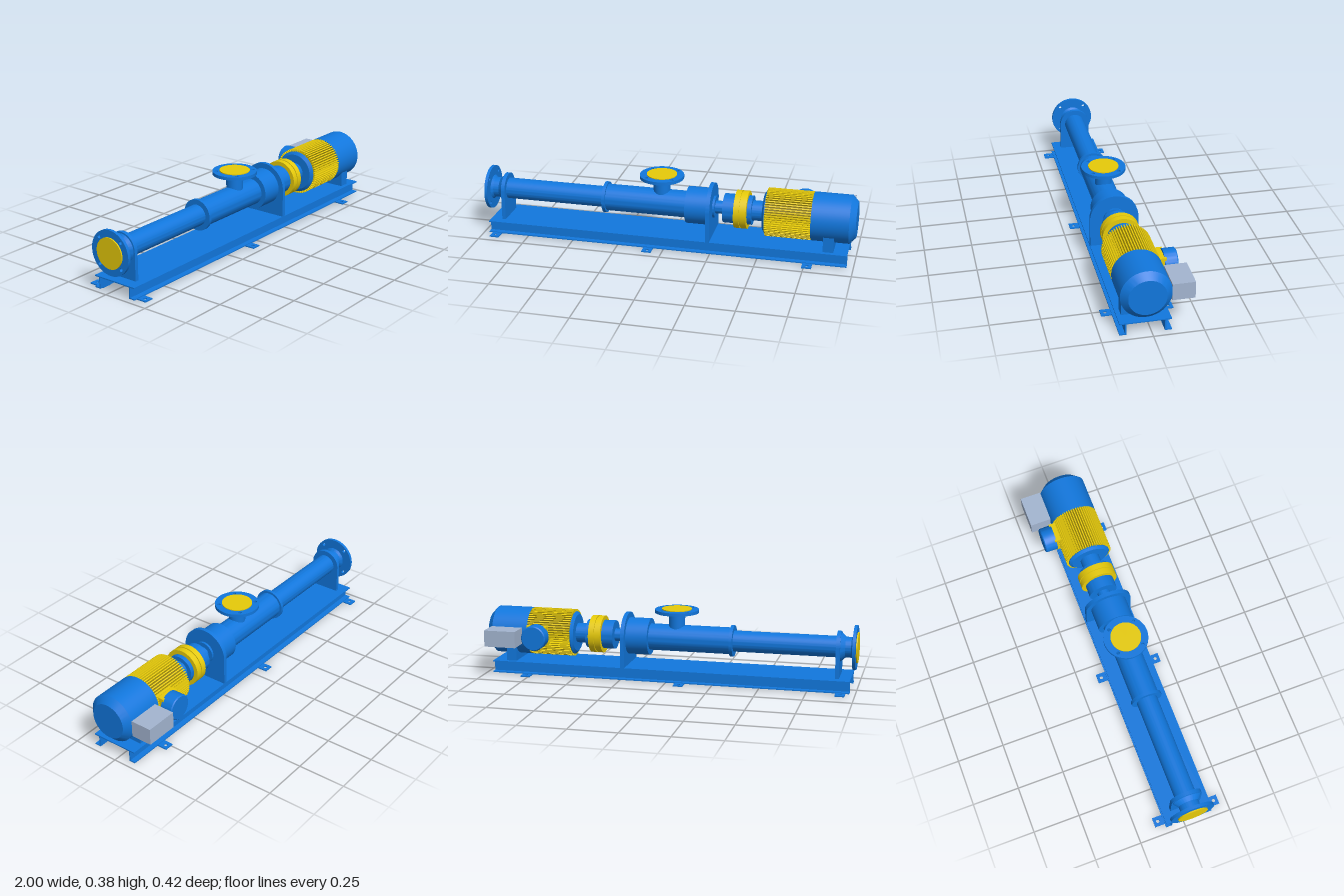
import * as THREE from 'three';
import { toCreasedNormals } from 'three/addons/utils/BufferGeometryUtils.js';

const AXIS_Y = 0.22, AXIS_Z = 0.03, DECK_Y = 0.068;
const mat = (color) => new THREE.MeshStandardMaterial({ color });

export function createModel() {
  const model = new THREE.Group();
  const blue = mat(0x1177dd), yellow = mat(0xe6ca0a), dark = mat(0x8a7800), grey = mat(0xa3b5d0);

  const add = (name, geometry, material = blue) => {
    const mesh = new THREE.Mesh(geometry, material);
    mesh.name = name;
    model.add(mesh);
    return mesh;
  };

  // Box given by its two corners
  const box = (name, [x0, x1], [y0, y1], [z0, z1], material) => {
    const g = new THREE.BoxGeometry(x1 - x0, y1 - y0, z1 - z0);
    g.translate((x0 + x1) / 2, (y0 + y1) / 2, (z0 + z1) / 2);
    return add(name, g, material);
  };

  // Turned part on the shaft line; profile is [x, radius] pairs, closed at both ends
  const turned = (name, profile, material) => {
    const pts = [[profile[0][0], 0], ...profile, [profile[profile.length - 1][0], 0]];
    let g = new THREE.LatheGeometry(pts.map(([x, r]) => new THREE.Vector2(r, x)), 56);
    g = toCreasedNormals(g, 0.5);
    g.rotateZ(-Math.PI / 2).translate(0, AXIS_Y, AXIS_Z);
    return add(name, g, material);
  };

  const extrude = (shape, depth) =>
    toCreasedNormals(new THREE.ExtrudeGeometry(shape, { depth, bevelEnabled: false, curveSegments: 28 }), 0.5);

  // Disc with four bolt holes
  const flangeGeometry = (radius, depth) => {
    const shape = new THREE.Shape().absarc(0, 0, radius, 0, Math.PI * 2);
    for (let i = 0; i < 4; i++) {
      const a = Math.PI / 4 + i * Math.PI / 2;
      shape.holes.push(new THREE.Path().absarc(Math.cos(a) * 0.097, Math.sin(a) * 0.097, 0.009, 0, Math.PI * 2, true));
    }
    return extrude(shape, depth);
  };

  // Upright plate with a round top, standing on the deck
  const support = (name, x0, x1, radius) => {
    const drop = DECK_Y - AXIS_Y;
    const shape = new THREE.Shape();
    shape.moveTo(-radius, drop);
    shape.lineTo(radius, drop);
    shape.lineTo(radius, 0);
    shape.absarc(0, 0, radius, 0, Math.PI);
    shape.closePath();
    add(name, extrude(shape, x1 - x0).rotateY(Math.PI / 2).translate(x0, AXIS_Y, AXIS_Z));
  };

  // Base frame: deck, two outward-facing channels and drilled feet
  const length = [-0.97, 0.965];
  box('deckPlate', length, [0.062, DECK_Y], [-0.097, 0.158]);
  for (const side of [-1, 1]) {
    const span = (a, b) => [AXIS_Z + side * a, AXIS_Z + side * b].sort((p, q) => p - q);
    box('channelWeb', length, [0.006, 0.062], span(0.094, 0.1));
    box('channelLowerFlange', length, [0.003, 0.009], span(0.094, 0.128));
    for (const x of [-0.925, -0.08, 0.765]) {
      const tab = new THREE.Shape();
      tab.moveTo(-0.025, 0.094);
      tab.lineTo(0.025, 0.094);
      tab.lineTo(0.025, 0.18);
      tab.lineTo(-0.025, 0.18);
      tab.closePath();
      tab.holes.push(new THREE.Path().absarc(0, 0.157, 0.009, 0, Math.PI * 2, true));
      const g = extrude(tab, 0.006).rotateX(-Math.PI / 2);
      if (side > 0) g.rotateY(Math.PI);
      add('foot', g.translate(x, 0, AXIS_Z));
    }
  }

  // Suction end
  add('inletFlange', flangeGeometry(0.117, 0.016).rotateY(Math.PI / 2).translate(-0.992, AXIS_Y, AXIS_Z));
  turned('inletCover', [[-0.999, 0.08], [-0.992, 0.08]], yellow);
  turned('inletNeck', [[-0.976, 0.065], [-0.965, 0.054], [-0.935, 0.054], [-0.912, 0.075], [-0.905, 0.075]]);
  support('inletSupport', -0.91, -0.89, 0.083);

  // Stator tube, pump housing and bearing housing
  turned('statorTube', [[-0.89, 0.056], [-0.345, 0.056]]);
  turned('housingRing', [[-0.347, 0.083], [-0.33, 0.083]]);
  turned('pumpHousing', [[-0.33, 0.071], [0.107, 0.071]]);
  turned('bearingHousing', [[0.107, 0.098], [0.225, 0.098]]);
  support('bearingSupport', 0.225, 0.246, 0.127);

  // Discharge branch
  const branch = new THREE.CylinderGeometry(0.044, 0.044, 0.14, 40, 1, true).translate(-0.035, 0.29, AXIS_Z);
  add('outletBranch', branch);
  add('outletFlange', flangeGeometry(0.117, 0.017).rotateX(-Math.PI / 2).translate(-0.035, 0.36, AXIS_Z));
  add('outletCover', new THREE.CylinderGeometry(0.08, 0.08, 0.005, 48).translate(-0.035, 0.379, AXIS_Z), yellow);

  // Drive shaft and coupling
  turned('driveShaft', [[0.246, 0.058], [0.258, 0.058], [0.258, 0.034], [0.305, 0.034]]);
  turned('couplingHub', [[0.303, 0.077], [0.365, 0.077]]);
  turned('couplingRing', [[0.365, 0.1], [0.395, 0.1], [0.395, 0.094], [0.401, 0.094], [0.401, 0.1], [0.432, 0.1]], yellow);
  turned('motorHub', [[0.432, 0.077], [0.455, 0.077], [0.455, 0.053], [0.515, 0.053]]);

  // Motor: end plate, finned body and fan cover
  turned('motorEndPlate', [[0.515, 0.1], [0.526, 0.115], [0.534, 0.115]]);
  turned('motorCore', [[0.53, 0.115], [0.775, 0.115]], dark);
  const fins = 60, finGeometry = new THREE.BoxGeometry(0.24, 0.018, 0.006);
  for (let i = 0; i < fins; i++) {
    const a = (i / fins) * Math.PI * 2;
    const fin = add('coolingFin', finGeometry, yellow);
    fin.position.set(0.65, AXIS_Y + Math.cos(a) * 0.118, AXIS_Z + Math.sin(a) * 0.118);
    fin.rotation.x = a;
  }
  turned('fanCover', [[0.77, 0.127], [0.966, 0.127], [0.998, 0.094]]);
  box('motorFoot', [0.837, 0.892], [DECK_Y, 0.19], [-0.075, 0.135]);

  // Terminal housing and control box on the back of the motor
  box('terminalNeck', [0.652, 0.76], [0.167, 0.273], [-0.118, -0.06], yellow);
  const cap = [[0, 0], [0.067, 0], [0.067, 0.062], [0.062, 0.067], [0, 0.067]];
  const capGeometry = new THREE.LatheGeometry(cap.map(([r, y]) => new THREE.Vector2(r, y)), 40);
  add('terminalHousing', toCreasedNormals(capGeometry, 0.5).rotateX(-Math.PI / 2).translate(0.705, AXIS_Y, -0.11));
  box('controlBox', [0.795, 0.968], [0.171, 0.259], [-0.208, -0.095], grey);

  return model;
}
